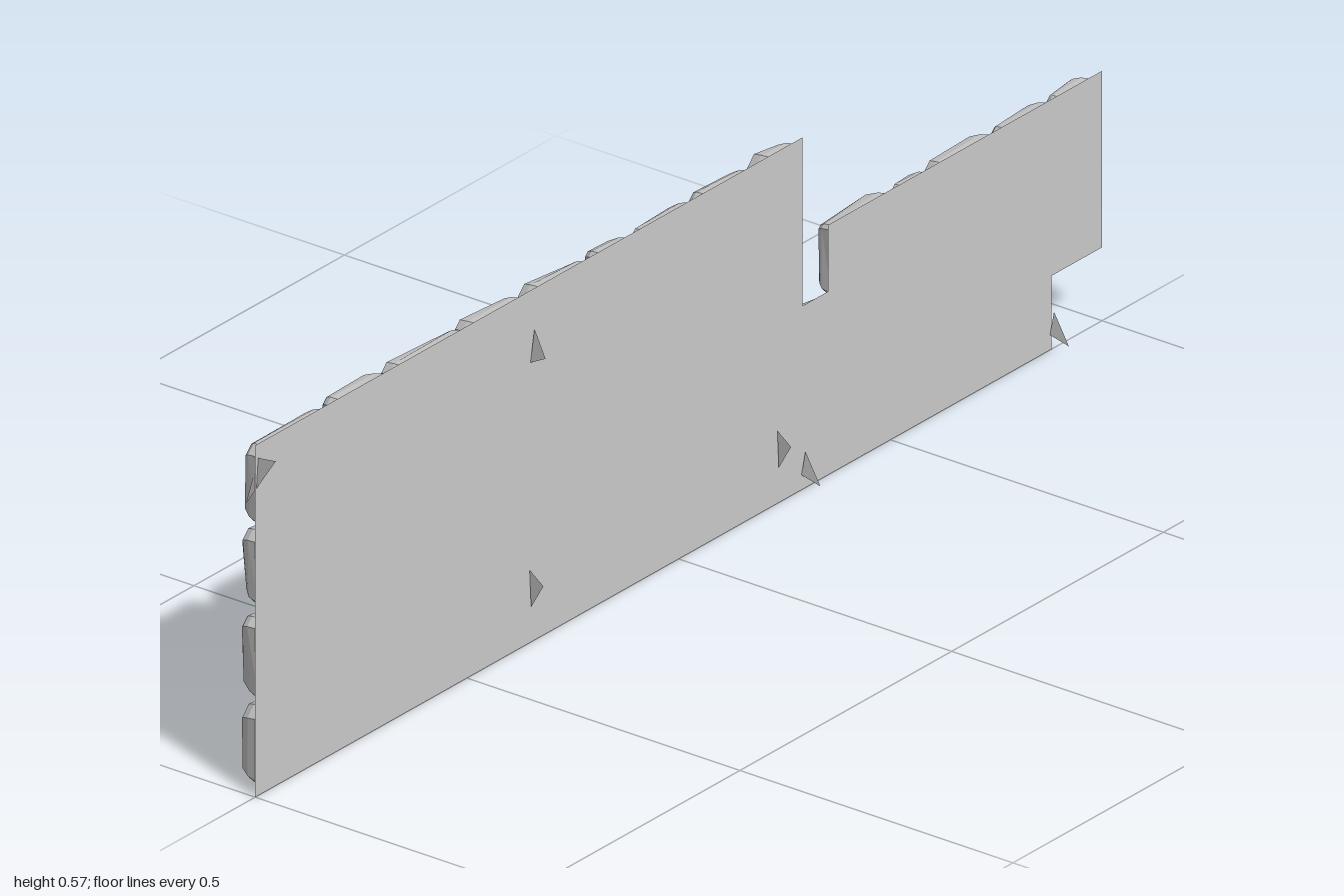
import * as THREE from 'three';

// Small seeded generator for the irregular stones
function makeRandom(seed) {
  return () => {
    seed = (seed * 16807) % 2147483647;
    return seed / 2147483647;
  };
}

// Courses of masonry: bottom, top, and the joint positions along z
const COURSES = [
  { y0: 0.0, y1: 0.143, joints: [-0.88, -0.69, -0.56, -0.37, -0.11, 0.02, 0.16, 0.34, 0.54, 0.74, 0.87, 1] },
  { y0: 0.118, y1: 0.268, joints: [-1, -0.865] },
  { y0: 0.143, y1: 0.268, joints: [-0.865, -0.71, -0.63, -0.54, -0.365] },
  { y0: 0.268, y1: 0.4, joints: [-1, -0.89, -0.755, -0.615, -0.515, -0.355] },
  { y0: 0.143, y1: 0.287, joints: [-0.365, -0.155, -0.04, 0.09, 0.21, 0.35, 0.55, 0.68, 0.87, 1] },
  { y0: 0.287, y1: 0.424, joints: [-0.295, -0.16, 0.015, 0.145, 0.265, 0.44, 0.62, 0.85, 1] },
  { y0: 0.424, y1: 0.565, joints: [-0.295, -0.195, -0.05, 0.1, 0.195, 0.345, 0.49, 0.67, 0.81, 1] },
];

// One chipped stone, lofted from octagonal rings rising towards -x
function stoneGeometry(z0, z1, y0, y1, random) {
  const gap = 0.002;
  const corners = [[z0, y0, 1, 1], [z1, y0, -1, 1], [z1, y1, -1, -1], [z0, y1, 1, -1]]
    .map(([z, y, sz, sy]) => ({
      z: z + sz * (gap + random() * 0.006),
      y: y + sy * (gap + random() * 0.005),
      sz, sy,
      chip: 0.005 + random() * 0.012,
      bevel: 0.8 + random() * 0.9,
    }));
  const tiltZ = (random() - 0.5) * 0.008;
  const tiltY = (random() - 0.5) * 0.006;
  const layers = [[0, 0], [0.02, 0.003], [0.032, 0.008], [0.038, 0.015]];
  const rings = layers.map(([depth, inset], level) => {
    const ring = [];
    corners.forEach((c, i) => {
      const z = c.z + c.sz * inset * c.bevel;
      const y = c.y + c.sy * inset * c.bevel;
      const lift = level < 2 ? 0 : tiltZ * c.sz + tiltY * c.sy;
      const x = -Math.min(0.04, depth + lift);
      const alongZ = [x, y, z + c.sz * c.chip];
      const alongY = [x, y + c.sy * c.chip, z];
      ring.push(...(i % 2 ? [alongZ, alongY] : [alongY, alongZ]));
    });
    return ring;
  });

  const points = [];
  const n = 8;
  for (let k = 0; k < rings.length - 1; k++) {
    for (let i = 0; i < n; i++) {
      const j = (i + 1) % n;
      const a = rings[k][i], b = rings[k][j], c = rings[k + 1][j], d = rings[k + 1][i];
      points.push(...a, ...b, ...c, ...a, ...c, ...d);
    }
  }
  // Slightly crowned face
  const face = rings[rings.length - 1];
  const centre = [-0.039, (y0 + y1) / 2 + (random() - 0.5) * 0.03, (z0 + z1) / 2 + (random() - 0.5) * 0.04];
  for (let i = 0; i < n; i++) points.push(...centre, ...face[i], ...face[(i + 1) % n]);

  const geometry = new THREE.BufferGeometry();
  geometry.setAttribute('position', new THREE.Float32BufferAttribute(points, 3));
  geometry.computeVertexNormals();
  return geometry;
}

// Loose triangular flake lying across the panel at a given z
function shardGeometry(z, corners) {
  const points = corners.flatMap(([x, y], i) => [x, y, z + (i - 1) * 0.003]);
  const geometry = new THREE.BufferGeometry();
  geometry.setAttribute('position', new THREE.Float32BufferAttribute(points, 3));
  geometry.computeVertexNormals();
  return geometry;
}

export function createModel() {
  const model = new THREE.Group();
  model.name = 'stoneWall';
  const stone = new THREE.MeshStandardMaterial({ color: 0xcccccc, flatShading: true });
  const thin = new THREE.MeshStandardMaterial({ color: 0xcccccc, flatShading: true, side: THREE.DoubleSide });

  // Flat panel behind the stones, drawn in (-z, y) and turned to face +x
  const outline = [[1, 0], [-0.88, 0], [-0.88, 0.118], [-1, 0.118], [-1, 0.402], [-0.353, 0.402],
    [-0.353, 0.295], [-0.293, 0.295], [-0.293, 0.566], [1, 0.566]];
  const shape = new THREE.Shape(outline.map(([z, y]) => new THREE.Vector2(-z, y)));
  const panel = new THREE.Mesh(new THREE.ShapeGeometry(shape).rotateY(Math.PI / 2), thin);
  panel.name = 'backPanel';
  model.add(panel);

  // Stones
  const random = makeRandom(4711);
  COURSES.forEach(({ y0, y1, joints }, row) => {
    const course = new THREE.Group();
    course.name = `stoneCourse${row + 1}`;
    for (let i = 0; i < joints.length - 1; i++) {
      const mesh = new THREE.Mesh(stoneGeometry(joints[i], joints[i + 1], y0, y1, random), stone);
      mesh.name = 'stone';
      course.add(mesh);
    }
    model.add(course);
  });

  // Flakes sticking out of the panel
  const shards = [
    [0.996, [[0, 0.543], [-0.02, 0.465], [0.037, 0.551]]],
    [0.35, [[0.005, 0.505], [0, 0.45], [0.03, 0.466]]],
    [0.355, [[0, 0.117], [0.005, 0.06], [0.03, 0.102]]],
    [-0.23, [[0, 0.117], [0.005, 0.06], [0.03, 0.102]]],
    [-0.29, [[0.005, 0.062], [0, 0.024], [0.037, 0.018]]],
    [-0.877, [[0.005, 0.062], [0, 0.024], [0.037, 0.018]]],
  ];
  for (const [z, corners] of shards) {
    const mesh = new THREE.Mesh(shardGeometry(z, corners), thin);
    mesh.name = 'shard';
    model.add(mesh);
  }
  return model;
}
